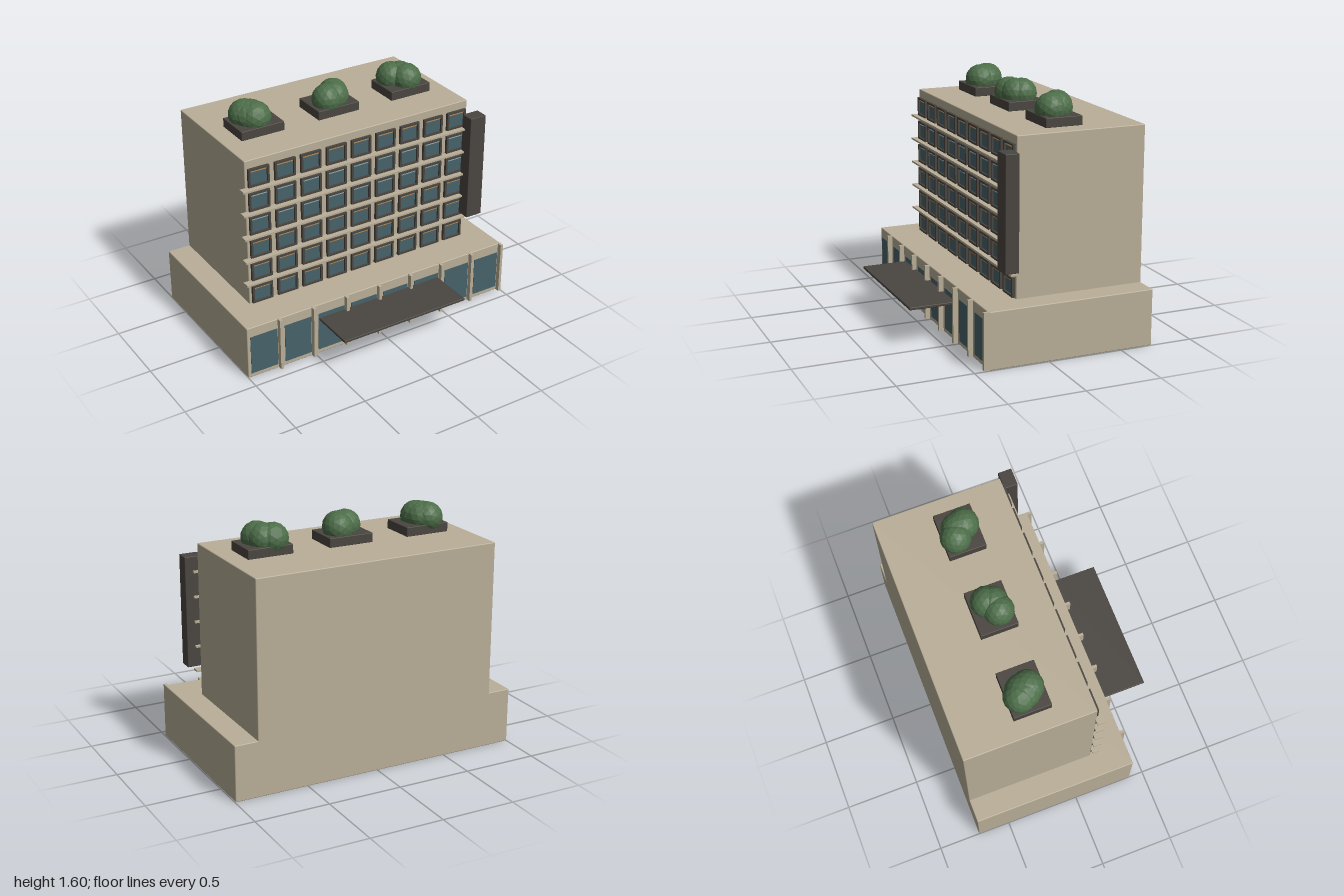
import * as THREE from 'three';
import { RoundedBoxGeometry } from 'three/addons/geometries/RoundedBoxGeometry.js';

const material = (name, color) => {
  const m = new THREE.MeshStandardMaterial({ color });
  m.name = name;
  return m;
};

export function createModel() {
  const stone = material('stone', 0xb9ae98);
  const dark = material('dark metal', 0x4a4540);
  const glass = material('glass', 0x48626a);
  const amber = material('amber blind', 0xb98a52);
  const pale = material('pale blind', 0x8fabb0);
  const leaf = material('leaf', 0x4d6e49);
  leaf.flatShading = true;

  const model = new THREE.Group();
  model.name = 'building';

  const add = (name, geometry, mat, x = 0, y = 0, z = 0, parent = model) => {
    const mesh = new THREE.Mesh(geometry, mat);
    mesh.name = name;
    mesh.position.set(x, y, z);
    parent.add(mesh);
    return mesh;
  };
  // Box given by its limits, with optionally softened edges
  const block = (name, mat, [x0, x1], [y0, y1], [z0, z1], radius = 0, parent = model) => {
    const size = [x1 - x0, y1 - y0, z1 - z0];
    const geometry = radius
      ? new RoundedBoxGeometry(...size, 2, radius)
      : new THREE.BoxGeometry(...size);
    return add(name, geometry, mat, (x0 + x1) / 2, (y0 + y1) / 2, (z0 + z1) / 2, parent);
  };

  // Main masses
  block('podium', stone, [-1, 0.996], [0, 0.375], [-0.718, 0.404], 0.006);
  block('tower', stone, [-0.843, 0.839], [0.3, 1.405], [-0.718, 0.155], 0.006);

  // Podium shopfront: glazing and upright fins
  const shopfront = new THREE.Group();
  shopfront.name = 'shopfront';
  model.add(shopfront);
  for (let i = 0; i < 8; i++) {
    const x = -0.88 + i * 0.2503;
    block('shopWindow', glass, [x - 0.098, x + 0.098], [0.03, 0.306], [0.4, 0.407], 0, shopfront);
    const f = -0.768 + i * 0.2505;
    block('fin', stone, [f - 0.01, f + 0.01], [0.004, 0.375], [0.395, 0.436], 0, shopfront);
  }

  // Entrance canopy
  block('canopy', dark, [-0.47, 0.465], [0.256, 0.274], [0.4, 0.716], 0.004);

  // Window: frame with a hole, recessed pane and a blind rail
  const rectangle = (target, w, h) => {
    target.moveTo(-w / 2, -h / 2).lineTo(w / 2, -h / 2);
    target.lineTo(w / 2, h / 2).lineTo(-w / 2, h / 2).closePath();
    return target;
  };
  const frameShape = rectangle(new THREE.Shape(), 0.148, 0.126);
  frameShape.holes.push(rectangle(new THREE.Path(), 0.12, 0.1));
  const frameGeometry = new THREE.ExtrudeGeometry(frameShape, { depth: 0.02, bevelEnabled: false });
  const paneGeometry = new THREE.BoxGeometry(0.124, 0.104, 0.008);
  const railGeometry = new THREE.BoxGeometry(0.118, 0.006, 0.004);

  for (let row = 0; row < 6; row++) {
    const y = 0.443 + row * 0.1687;
    const floor = new THREE.Group();
    floor.name = 'floorWindows';
    model.add(floor);
    for (let col = 0; col < 9; col++) {
      const x = -0.751 + col * 0.1872;
      add('windowFrame', frameGeometry, dark, x, y, 0.154, floor);
      add('windowPane', paneGeometry, glass, x, y, 0.157, floor);
      add('blindRail', railGeometry, row === 3 || row === 4 ? pale : amber, x, y + 0.04, 0.163, floor);
    }
    // Thin ledge above every floor but the top one
    if (row < 5) block('ledge', stone, [-0.878, 0.868], [y + 0.09, y + 0.102], [0.15, 0.203]);
  }

  // Upright sign box on the corner
  block('signBox', dark, [0.798, 0.92], [0.568, 1.315], [0.172, 0.264], 0.004);

  // Roof planters with rounded shrubs: [x, z, radius] for each lobe
  const planters = [
    { x: -0.567, lobes: [[-0.61, -0.265, 0.105], [-0.568, -0.2, 0.106], [-0.585, -0.235, 0.115]] },
    { x: -0.005, lobes: [[0.035, -0.24, 0.1], [-0.045, -0.185, 0.1], [0.02, -0.2, 0.098]] },
    { x: 0.559, lobes: [[0.508, -0.265, 0.102], [0.58, -0.19, 0.104], [0.565, -0.24, 0.1]] },
  ];
  for (const { x, lobes } of planters) {
    block('planter', dark, [x - 0.154, x + 0.154], [1.403, 1.466], [-0.346, -0.096], 0.004);
    lobes.forEach(([lx, lz, r], i) => {
      const lobe = add('shrub', new THREE.IcosahedronGeometry(r, 2), leaf, lx, 1.497, lz);
      lobe.scale.y = 0.102 / r;
      lobe.rotation.y = i * 1.3 + x * 4;
    });
  }
  return model;
}
